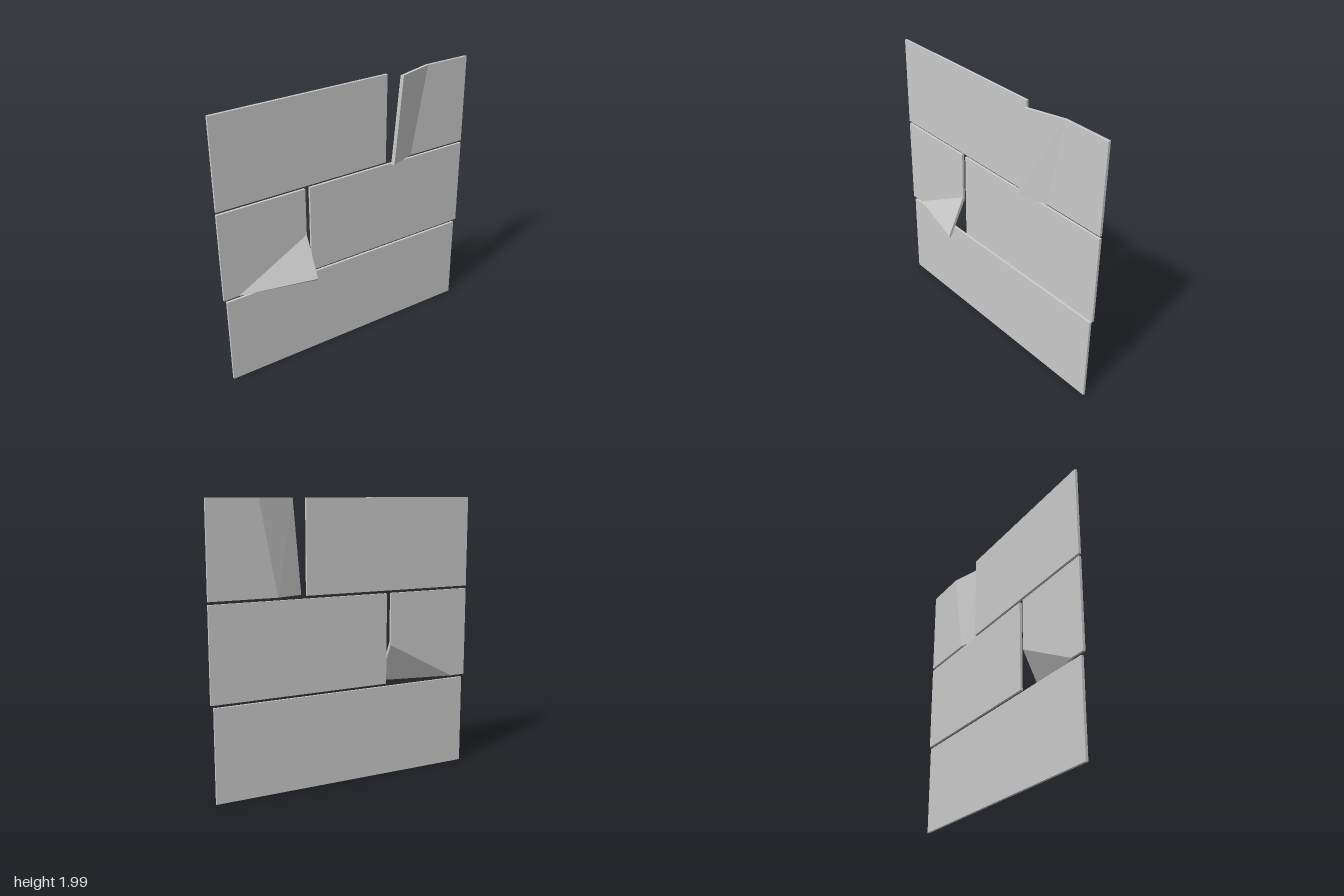
import * as THREE from 'three';

const FRONT = -0.058, BACK = -0.076;
const material = new THREE.MeshStandardMaterial({ color: 0xcccccc, flatShading: true });

// Flat plank between two corners
function plank(name, x0, x1, y0, y1) {
  const mesh = new THREE.Mesh(new THREE.BoxGeometry(x1 - x0, y1 - y0, FRONT - BACK), material);
  mesh.position.set((x0 + x1) / 2, (y0 + y1) / 2, (FRONT + BACK) / 2);
  mesh.name = name;
  return mesh;
}

// Folded sheet: matching front and back outlines (counter-clockwise from the front),
// convex faces given as outline indices, and a rim around the edge
function foldedSheet(name, front, back, faces) {
  const pos = [];
  const fan = (pts) => {
    for (let i = 1; i < pts.length - 1; i++) pos.push(...pts[0], ...pts[i], ...pts[i + 1]);
  };
  for (const face of faces) {
    fan(face.map((i) => front[i]));
    fan(face.map((i) => back[i]).reverse());
  }
  front.forEach((p, i) => {
    const j = (i + 1) % front.length;
    fan([p, back[i], back[j], front[j]]);
  });
  const geometry = new THREE.BufferGeometry();
  geometry.setAttribute('position', new THREE.Float32BufferAttribute(pos, 3));
  geometry.computeVertexNormals();
  const mesh = new THREE.Mesh(geometry, material);
  mesh.name = name;
  return mesh;
}

export function createModel() {
  const group = new THREE.Group();
  group.name = 'plankWall';

  // Flat planks
  group.add(
    plank('bottomPlank', -0.98, 0.98, 0, 0.65),
    plank('middleLongPlank', -0.315, 1, 0.67, 1.32),
    plank('topLongPlank', -1, 0.31, 1.34, 1.985),
  );

  // Short top plank, its inner end bent forward along a slanted fold
  group.add(foldedSheet('topBentPlank',
    [[0.335, 1.34, 0.01], [0.53, 1.34, FRONT], [1, 1.34, FRONT],
      [1, 1.985, FRONT], [0.652, 1.985, FRONT], [0.385, 1.985, 0.022]],
    [[0.32, 1.34, -0.008], [0.52, 1.34, BACK], [1, 1.34, BACK],
      [1, 1.985, BACK], [0.645, 1.985, BACK], [0.37, 1.985, 0.005]],
    [[0, 1, 4, 5], [1, 2, 3, 4]]));

  // Short middle plank, its lower inner corner folded forward
  group.add(foldedSheet('middleCornerFoldedPlank',
    [[-1, 0.67, FRONT], [-0.89, 0.672, FRONT], [-0.35, 0.682, 0.076],
      [-0.35, 0.97, FRONT], [-0.35, 1.32, FRONT], [-1, 1.32, FRONT]],
    [[-1, 0.67, BACK], [-0.88, 0.67, BACK], [-0.35, 0.664, 0.062],
      [-0.35, 0.948, BACK], [-0.35, 1.32, BACK], [-1, 1.32, BACK]],
    [[0, 1, 3, 4, 5], [1, 2, 3]]));

  return group;
}
